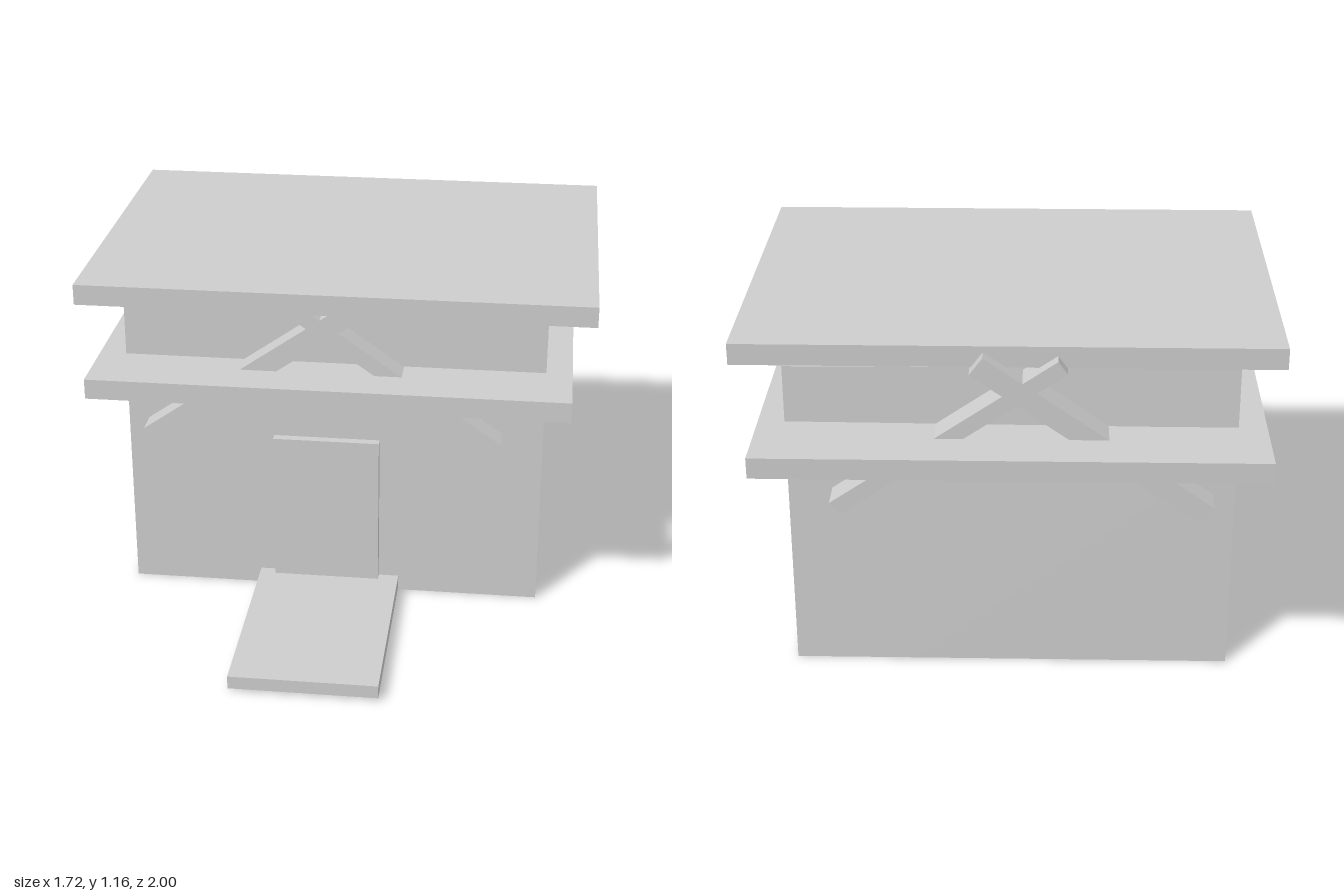
import * as THREE from 'three';

export function createModel() {
  const group = new THREE.Group();
  const grey = new THREE.MeshStandardMaterial({ color: 0xcccccc });
  grey.name = 'plain grey';

  function add(name, geometry) {
    const mesh = new THREE.Mesh(geometry, grey);
    mesh.name = name;
    group.add(mesh);
    return mesh;
  }

  // Box given by its extents on each axis
  function slab(name, [x0, x1], [y0, y1], [z0, z1]) {
    const geometry = new THREE.BoxGeometry(x1 - x0, y1 - y0, z1 - z0);
    geometry.translate((x0 + x1) / 2, (y0 + y1) / 2, (z0 + z1) / 2);
    return add(name, geometry);
  }

  // Walls: the back leans in slightly towards the top
  const walls = slab('walls', [-0.725, 0.7], [0, 1.07], [-0.765, 0.3]).geometry;
  const p = walls.attributes.position;
  for (let i = 0; i < p.count; i++) {
    if (p.getZ(i) < 0 && p.getY(i) > 0.5) {
      const left = p.getX(i) > 0;
      p.setZ(i, left ? -0.74 : -0.755);
      if (left) p.setXYZ(i, 0.703, 1.055, -0.74);
    }
  }
  walls.computeVertexNormals();

  // Roof, the ledge around the walls, door and front walkway
  slab('roof', [-0.86, 0.857], [1.09, 1.16], [-0.81, 0.43]);
  slab('ledge', [-0.815, 0.787], [0.797, 0.866], [-1, 0.53]);
  slab('door', [-0.22, 0.145], [0.002, 0.585], [0.2, 0.33]);
  slab('walkway', [-0.275, 0.215], [0.01, 0.055], [0.295, 1]);

  // Crossed beams running through the house from front to back
  function beam(name, corners) {
    const shape = new THREE.Shape(corners.map(([x, y]) => new THREE.Vector2(x, y)));
    const geometry = new THREE.ExtrudeGeometry(shape, { depth: 1.245, bevelEnabled: false });
    geometry.translate(0, 0, -0.855);
    add(name, geometry);
  }
  beam('risingBeam', [[-0.61, 0.575], [0.115, 1.083], [0.073, 1.14], [-0.655, 0.63]]);
  beam('fallingBeam', [[0.53, 0.593], [0.56, 0.635], [-0.158, 1.13], [-0.188, 1.088]]);

  return group;
}
